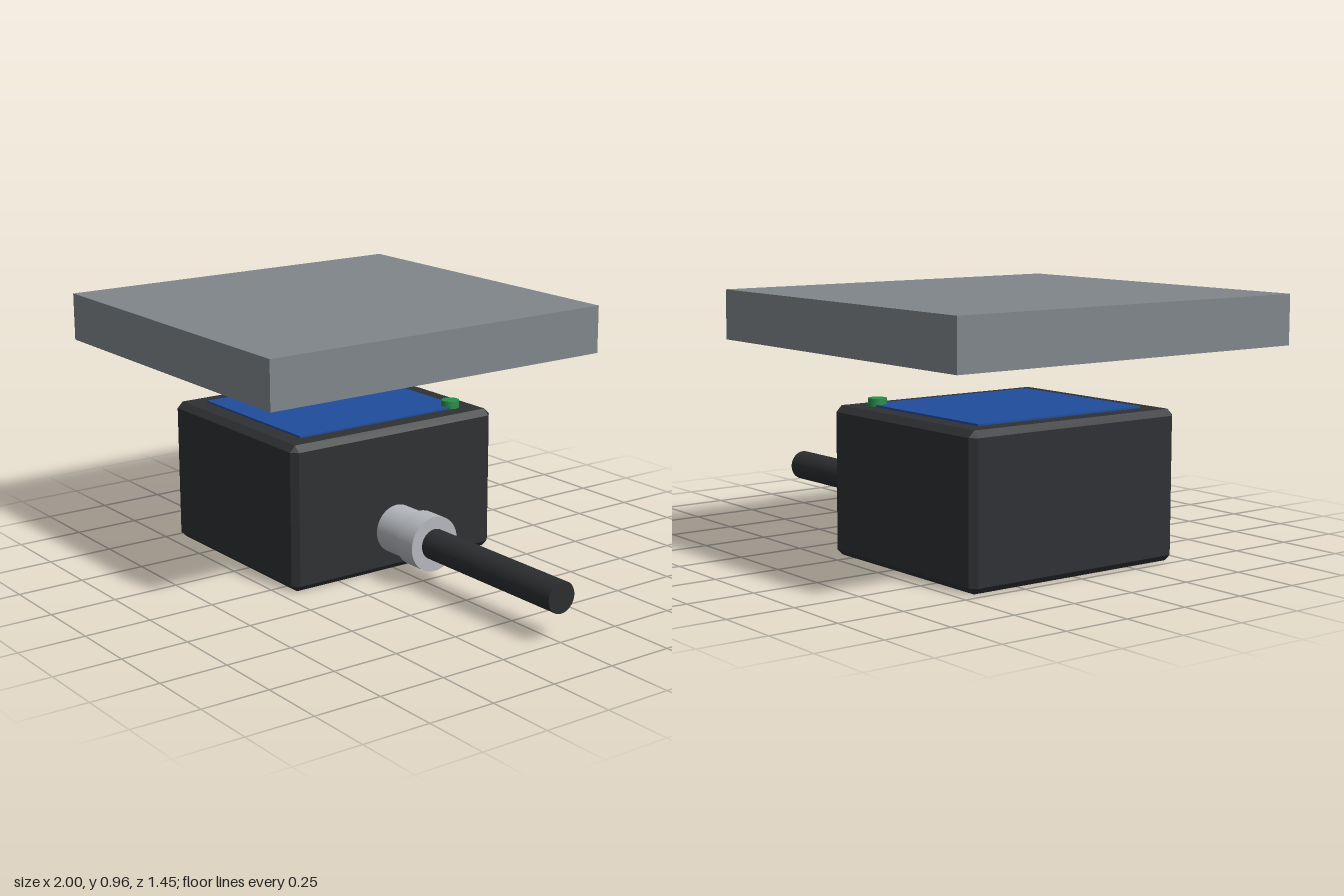
import * as THREE from 'three';
import { ConvexGeometry } from 'three/addons/geometries/ConvexGeometry.js';

const AXIS_X = -0.32; // centre of the housing in x
const CABLE_Y = 0.16;

function add(group, name, geometry, color, x, y, z) {
  const mesh = new THREE.Mesh(geometry, new THREE.MeshStandardMaterial({ color }));
  mesh.name = name;
  mesh.position.set(x, y, z);
  group.add(mesh);
  return mesh;
}

// Box with every edge bevelled: the hull of its six inset faces
function chamferedBox(w, h, d, c) {
  const points = [];
  for (const x of [-w / 2, w / 2])
    for (const y of [-h / 2, h / 2])
      for (const z of [-d / 2, d / 2]) {
        const ix = x - Math.sign(x) * c, iy = y - Math.sign(y) * c, iz = z - Math.sign(z) * c;
        points.push(
          new THREE.Vector3(x, iy, iz),
          new THREE.Vector3(ix, y, iz),
          new THREE.Vector3(ix, iy, z));
      }
  return new ConvexGeometry(points);
}

// Upright cylinder between two heights
function disc(group, name, r, y0, y1, color, x, z) {
  return add(group, name, new THREE.CylinderGeometry(r, r, y1 - y0, 48), color, x, (y0 + y1) / 2, z);
}

// Cylinder along x between two positions
function rod(group, name, r, x0, x1, color) {
  const geometry = new THREE.CylinderGeometry(r, r, x1 - x0, 48).rotateZ(-Math.PI / 2);
  return add(group, name, geometry, color, (x0 + x1) / 2, CABLE_Y, 0);
}

export function createModel() {
  const model = new THREE.Group();
  model.name = 'proximitySensor';

  // Sensor body with its label plate and indicator light
  add(model, 'housing', chamferedBox(0.818, 0.546, 0.91, 0.023), 0x2e3033, AXIS_X, 0.273, 0);
  add(model, 'sensingFace', new THREE.BoxGeometry(0.636, 0.012, 0.728), 0x1f4e9c, AXIS_X, 0.547, 0);
  disc(model, 'indicatorLight', 0.034, 0.54, 0.575, 0x2a8c4a, -0.027, -0.341);

  // Cable outlet on the side
  rod(model, 'cableGland', 0.091, 0.08, 0.225, 0xb4b7bc);
  rod(model, 'glandNut', 0.103, 0.225, 0.316, 0xb4b7bc);
  rod(model, 'cable', 0.057, 0.3, 1, 0x2b2d2f);

  // Floating target plate with a round insert below
  add(model, 'targetPlate', new THREE.BoxGeometry(1.364, 0.18, 1.454), 0x80868a, AXIS_X + 0.002, 0.866, 0);
  disc(model, 'targetDisc', 0.227, 0.754, 0.777, 0xd8d0c0, AXIS_X, 0);

  return model;
}
